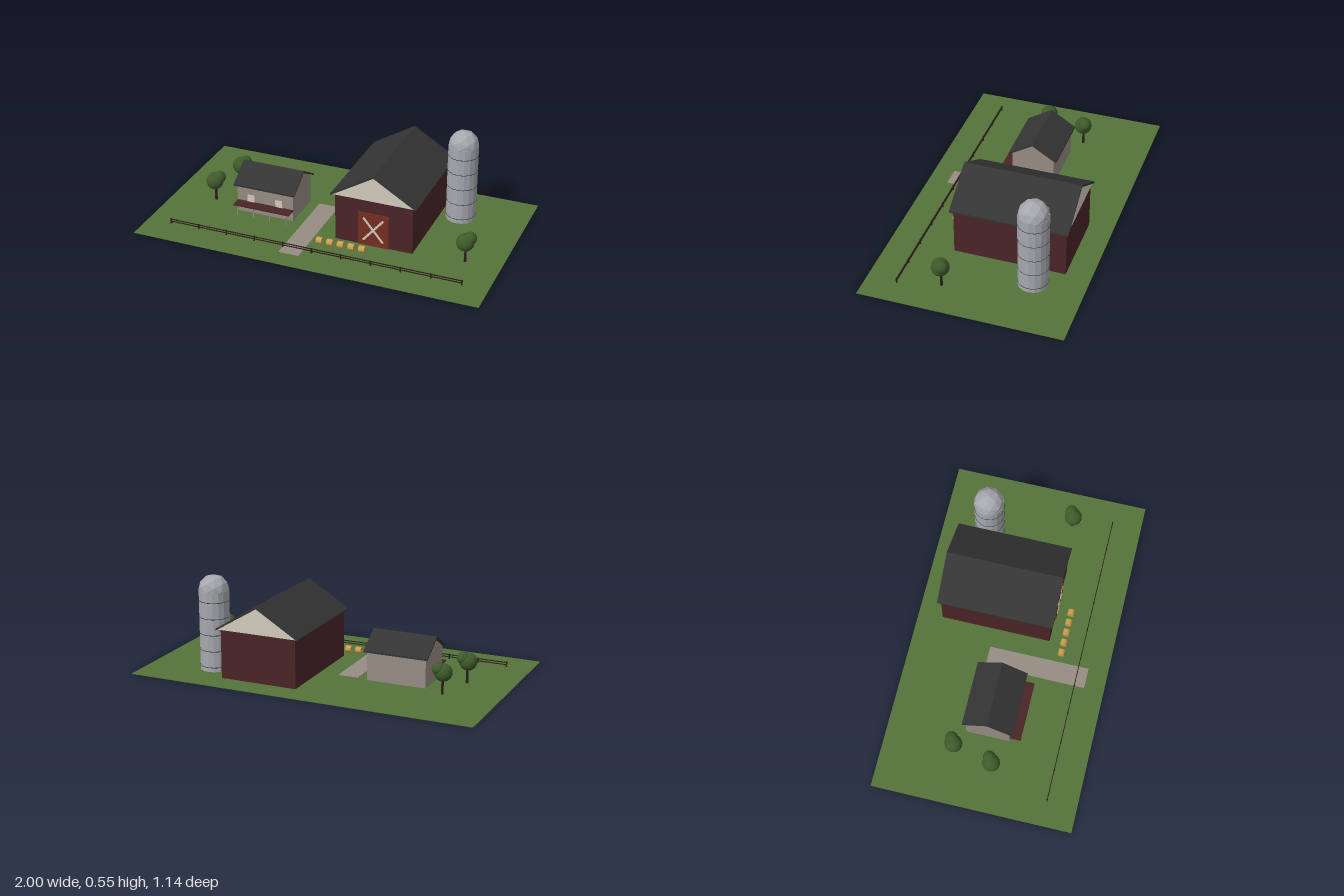
import * as THREE from 'three';

const paint = (name, color) => {
  const m = new THREE.MeshStandardMaterial({ color, flatShading: true });
  m.name = name;
  return m;
};

export function createModel() {
  const grass = paint('grass green', 0x55743a);
  const barnRed = paint('barn red', 0x4a2426);
  const doorRed = paint('door red', 0x752d22);
  const cream = paint('cream', 0xd2ccbc);
  const charcoal = paint('charcoal', 0x343434);
  const steel = paint('silo grey', 0xa6a8ae);
  const stone = paint('warm stone', 0x978c84);
  const straw = paint('straw', 0xc99f50);
  const wood = paint('dark wood', 0x2c1e18);
  const leaf = paint('leaf green', 0x3e5a2a);

  const farm = new THREE.Group();
  farm.name = 'farm';
  const group = (name, x = 0, z = 0) => {
    const g = new THREE.Group();
    g.name = name;
    g.position.set(x, 0, z);
    farm.add(g);
    return g;
  };
  const add = (parent, name, geo, mat, x = 0, y = 0, z = 0) => {
    const m = new THREE.Mesh(geo, mat);
    m.name = name;
    m.position.set(x, y, z);
    parent.add(m);
    return m;
  };
  const box = (parent, name, mat, w, h, d, x, y, z) =>
    add(parent, name, new THREE.BoxGeometry(w, h, d), mat, x, y, z);
  // Cross-section in x/y, extruded along z and centred
  const prism = (parent, name, mat, points, depth) => {
    const shape = new THREE.Shape(points.map(([x, y]) => new THREE.Vector2(x, y)));
    const geo = new THREE.ExtrudeGeometry(shape, { depth, bevelEnabled: false });
    return add(parent, name, geo.translate(0, 0, -depth / 2), mat);
  };
  // Thin chevron roof: half width, eave height, ridge height, thickness
  const roof = (parent, w, eave, ridge, t, depth) => prism(parent, 'roof', charcoal, [
    [-w, eave - t], [0, ridge - t], [w, eave - t], [w, eave], [0, ridge], [-w, eave],
  ], depth);

  // Ground and path
  box(farm, 'ground', grass, 2, 0.003, 1.14, 0, 0.0015, 0);
  box(farm, 'path', stone, 0.118, 0.003, 0.576, -0.112, 0.003, 0.169);

  // Barn
  const barn = group('barn', 0.284, -0.113);
  box(barn, 'barnWalls', barnRed, 0.45, 0.282, 0.632, 0, 0.141, 0);
  prism(barn, 'barnGables', cream, [[-0.24, 0.281], [0.24, 0.281], [0, 0.426]], 0.646);
  roof(barn, 0.248, 0.288, 0.438, 0.011, 0.662);
  box(barn, 'barnDoor', doorRed, 0.178, 0.2, 0.008, 0, 0.103, 0.318);
  for (const s of [-1, 1]) {
    const brace = box(barn, 'doorBrace', cream, 0.012, 0.18, 0.006, 0, 0.104, 0.322);
    brace.rotation.z = s * 0.7;
  }

  // Silo
  const silo = group('silo', 0.626, -0.286);
  add(silo, 'siloTower', new THREE.CylinderGeometry(0.085, 0.085, 0.457, 16), steel, 0, 0.2285);
  add(silo, 'siloDome', new THREE.IcosahedronGeometry(0.086, 1), steel, 0, 0.459);
  for (let i = 0; i < 5; i++) {
    const band = add(silo, 'siloBand', new THREE.TorusGeometry(0.085, 0.0018, 4, 16), charcoal, 0, 0.028 + i * 0.093);
    band.rotation.x = Math.PI / 2;
  }

  // House, with its ridge running left to right
  const house = group('house', -0.402, -0.005);
  const shell = new THREE.Group();
  shell.name = 'houseShell';
  shell.rotation.y = Math.PI / 2;
  house.add(shell);
  prism(shell, 'houseWalls', stone,
    [[-0.125, 0], [0.125, 0], [0.125, 0.172], [0, 0.252], [-0.125, 0.172]], 0.342);
  roof(shell, 0.143, 0.176, 0.264, 0.01, 0.372);
  for (const x of [-0.087, 0.085])
    box(house, 'window', cream, 0.043, 0.05, 0.006, x, 0.09, 0.126);
  box(house, 'porchRoof', barnRed, 0.342, 0.008, 0.065, 0, 0.069, 0.155);
  for (let i = 0; i < 4; i++)
    add(house, 'porchPost', new THREE.CylinderGeometry(0.003, 0.003, 0.066, 6), stone, -0.15 + i * 0.1, 0.033, 0.178);

  // Trees
  for (const [x, z] of [[-0.687, -0.175], [-0.745, 0.053], [0.798, 0.168]]) {
    const tree = group('tree', x, z);
    add(tree, 'trunk', new THREE.CylinderGeometry(0.006, 0.008, 0.1, 7), wood, 0, 0.05);
    add(tree, 'crown', new THREE.IcosahedronGeometry(0.05, 2), leaf, -0.002, 0.124, 0.004);
    add(tree, 'sideCrown', new THREE.IcosahedronGeometry(0.036, 2), leaf, 0.021, 0.146, -0.011);
  }

  // Hay bales
  for (let i = 0; i < 5; i++) {
    const bale = add(farm, 'hayBale', new THREE.CylinderGeometry(0.019, 0.019, 0.034, 12), straw, i * 0.0625, 0.021, 0.286);
    bale.rotation.z = Math.PI / 2;
  }

  // Fence
  const fence = group('fence', 0, 0.4);
  for (let i = 0; i <= 10; i++)
    box(fence, 'fencePost', wood, 0.007, 0.034, 0.006, -0.855 + i * 0.171, 0.017, 0);
  for (const y of [0.016, 0.029])
    box(fence, 'fenceRail', wood, 1.715, 0.005, 0.004, 0, y, 0);

  return farm;
}
